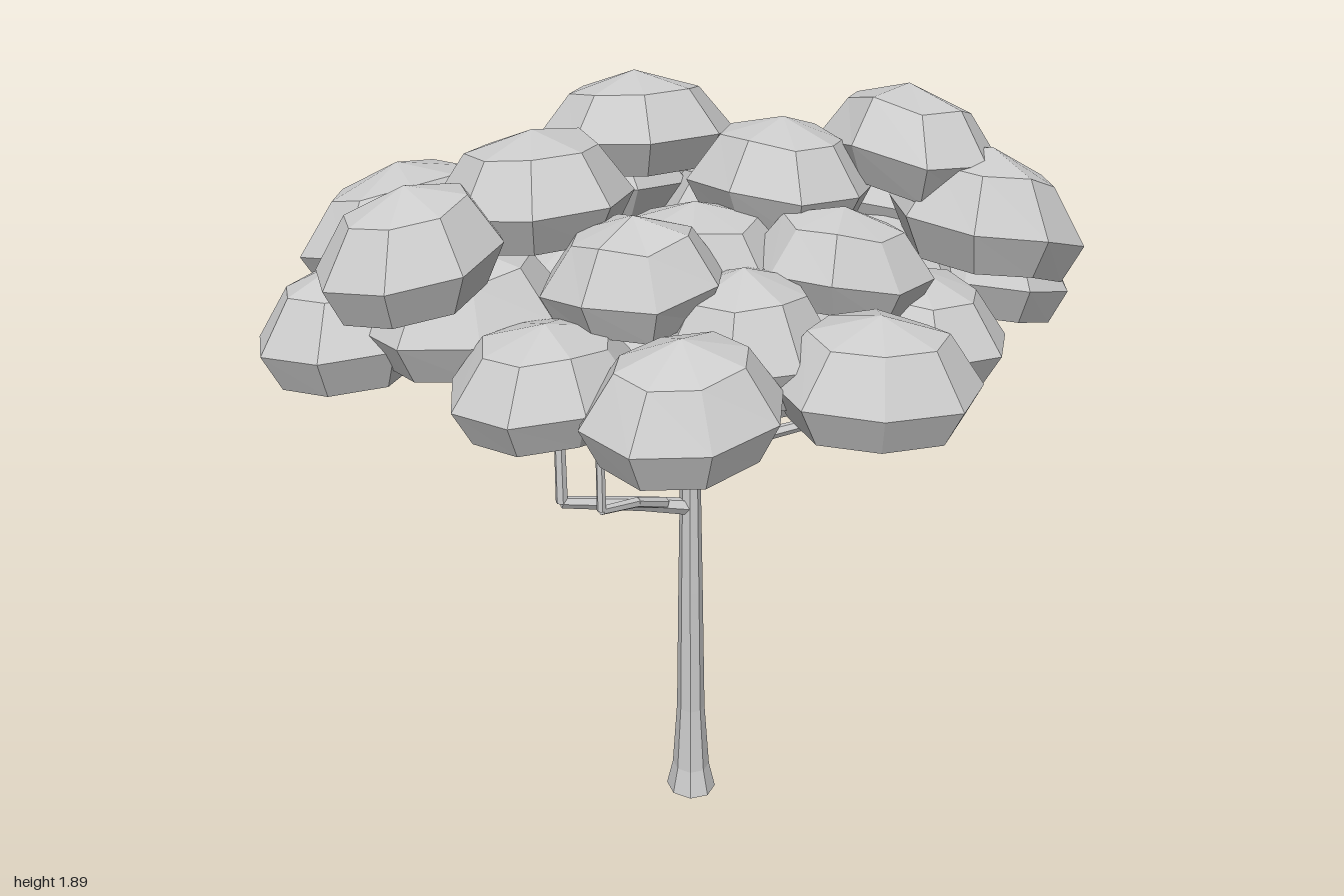
import * as THREE from 'three';

const material = new THREE.MeshStandardMaterial({ color: 0xcccccc, flatShading: true });

// Small seeded generator, used to make each leaf clump slightly irregular
function seeded(seed) {
  let s = seed * 7919 + 13;
  return () => {
    s = (s * 16807) % 2147483647;
    return s / 2147483647;
  };
}

function add(parent, geometry, name) {
  const mesh = new THREE.Mesh(geometry, material);
  mesh.name = name;
  parent.add(mesh);
  return mesh;
}

// Faceted clump: flat underside, sharp low rim, broad dome; tilt = downward slope along x and z
function clumpGeometry(rx, rz, height, tilt, seed) {
  const sides = 8;
  const rand = seeded(seed + 1);
  rand();
  const profile = [[0, 0], [0.8, 0.03], [1, 0.38], [0.65, 0.82], [0, 1]]
    .map(([r, y]) => new THREE.Vector2(r, y));
  const geometry = new THREE.LatheGeometry(profile, sides, rand() * Math.PI);
  const wobble = Array.from({ length: sides }, () => [0.99 + rand() * 0.08, (rand() - 0.5) * 0.1]);
  const pos = geometry.attributes.position;
  const rows = profile.length;
  for (let i = 0; i < pos.count; i++) {
    const row = i % rows;
    const [scale, lift] = wobble[Math.floor(i / rows) % sides];
    const inner = row > 0 && row < rows - 1;
    const x = pos.getX(i) * scale * rx;
    const z = pos.getZ(i) * scale * rz;
    const y = (pos.getY(i) + (inner ? lift : 0)) * height;
    pos.setXYZ(i, x, y - tilt[0] * x - tilt[1] * z, z);
  }
  geometry.computeVertexNormals();
  return geometry;
}

// Clumps: x, z, bottom y, top y, radius x, radius z
const lowerClumps = [
  [-0.21, 0.53, 1.24, 1.49, 0.215, 0.185],
  [0.235, 0.52, 1.24, 1.49, 0.23, 0.195],
  [-0.44, 0.32, 1.25, 1.48, 0.21, 0.2],
  [0.46, 0.22, 1.25, 1.49, 0.22, 0.21],
  [-0.79, -0.13, 1.27, 1.53, 0.21, 0.21],
  [0.8, -0.06, 1.27, 1.53, 0.2, 0.215],
  [0, -0.53, 1.25, 1.5, 0.19, 0.19],
  [0.32, -0.38, 1.25, 1.52, 0.19, 0.18],
  [-0.42, -0.43, 1.26, 1.54, 0.22, 0.2],
  [0, 0.32, 1.28, 1.56, 0.2, 0.22],
  [-0.55, 0.02, 1.32, 1.58, 0.23, 0.22],
  [0.52, -0.1, 1.27, 1.56, 0.23, 0.22],
  [-0.2, 0.08, 1.18, 1.46, 0.27, 0.25],
  [0.16, 0.07, 1.18, 1.46, 0.26, 0.26],
  [0.03, -0.17, 1.18, 1.46, 0.27, 0.22],
  [-0.26, -0.2, 1.21, 1.5, 0.24, 0.22],
];
const upperClumps = [
  [-0.68, 0.1, 1.49, 1.74, 0.205, 0.21],
  [-0.64, -0.26, 1.46, 1.71, 0.23, 0.22],
  [-0.37, -0.04, 1.56, 1.81, 0.22, 0.24],
  [-0.12, -0.47, 1.48, 1.74, 0.25, 0.245],
  [-0.07, -0.25, 1.66, 1.89, 0.23, 0.215],
  [0.22, -0.3, 1.42, 1.66, 0.21, 0.21],
  [0.57, -0.23, 1.45, 1.7, 0.24, 0.22],
  [0.545, -0.04, 1.61, 1.86, 0.215, 0.25],
  [0.69, 0.12, 1.45, 1.73, 0.225, 0.225],
  [0.21, 0, 1.57, 1.81, 0.21, 0.21],
  [0.27, 0.23, 1.43, 1.65, 0.2, 0.18],
  [-0.22, 0.23, 1.44, 1.67, 0.2, 0.18],
  [-0.03, 0.08, 1.4, 1.65, 0.22, 0.21],
];

// Straight tapered limb between two points
function limb(parent, from, to, r0, r1) {
  const a = new THREE.Vector3(...from);
  const b = new THREE.Vector3(...to);
  const dir = b.clone().sub(a);
  const mesh = add(parent, new THREE.CylinderGeometry(r1, r0, dir.length(), 6), 'branchSegment');
  mesh.position.copy(a).add(b).multiplyScalar(0.5);
  mesh.quaternion.setFromUnitVectors(new THREE.Vector3(0, 1, 0), dir.normalize());
}

// Branches: name, base radius, tip radius, points
const branches = [
  ['leftBranch', 0.02, 0.01, [[0, 0.95, -0.05], [0.2, 1.005, -0.05], [0.352, 1.025, -0.05], [0.352, 1.28, -0.05]]],
  ['leftTwig', 0.01, 0.008, [[0.352, 1.08, -0.05], [0.49, 1.11, -0.05], [0.49, 1.19, -0.05]]],
  ['backBranch', 0.014, 0.011, [[0.1, 0.985, -0.06], [0.2, 1.025, -0.23], [0.205, 1.28, -0.23]]],
  ['rightBranch', 0.022, 0.012, [[0, 0.835, -0.05], [-0.12, 0.86, -0.05], [-0.33, 0.895, -0.05], [-0.33, 1.28, -0.05]]],
  ['rightTwig', 0.01, 0.008, [[-0.33, 1.075, -0.05], [-0.47, 1.105, -0.05], [-0.47, 1.3, -0.05]]],
  ['frontBranch', 0.015, 0.01, [[-0.07, 0.86, -0.04], [-0.16, 0.9, 0.02], [-0.265, 0.92, 0.08], [-0.265, 1.28, 0.08]]],
];

export function createModel() {
  const tree = new THREE.Group();
  tree.name = 'tree';

  // Trunk with flared foot, a little deeper than wide
  const trunkProfile = [[0, 0], [0.064, 0], [0.048, 0.07], [0.036, 0.25], [0.031, 0.6], [0.026, 0.9], [0.019, 1.25], [0, 1.25]]
    .map(([r, y]) => new THREE.Vector2(r, y));
  const trunk = add(tree, new THREE.LatheGeometry(trunkProfile, 8, Math.PI / 8), 'trunk');
  trunk.position.set(0.003, 0, -0.056);
  trunk.scale.z = 1.15;

  // Elbowed branches
  for (const [name, r0, r1, points] of branches) {
    const branch = new THREE.Group();
    branch.name = name;
    const steps = points.length - 1;
    const radius = (i) => r0 + (r1 - r0) * (i / steps);
    for (let i = 0; i < steps; i++) limb(branch, points[i], points[i + 1], radius(i), radius(i + 1));
    tree.add(branch);
  }

  // Canopy, each clump drooping away from the trunk
  const canopy = new THREE.Group();
  canopy.name = 'canopy';
  let seed = 1;
  for (const [name, clumps, droop] of [['lowerLeafClump', lowerClumps, 0.12], ['upperLeafClump', upperClumps, 0.17]]) {
    for (const [x, z, bottom, top, rx, rz] of clumps) {
      const slope = droop / Math.max(0.6, Math.hypot(x, z));
      const geometry = clumpGeometry(rx, rz, top - bottom, [x * slope, z * slope], seed++);
      add(canopy, geometry, name).position.set(x, bottom, z);
    }
  }
  tree.add(canopy);
  return tree;
}
